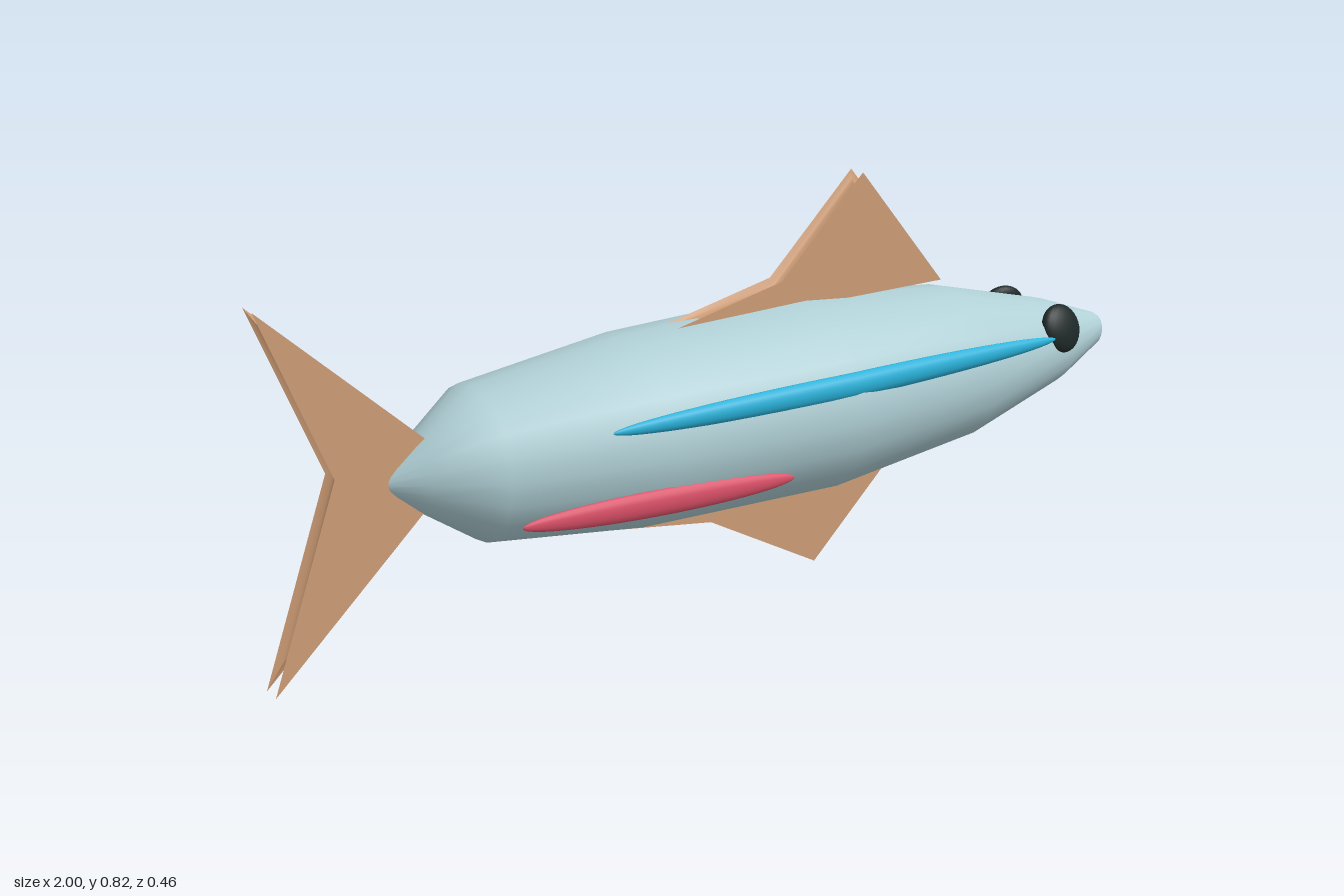
import * as THREE from 'three';
import { mergeVertices, toCreasedNormals } from 'three/addons/utils/BufferGeometryUtils.js';

const mat = (name, color) => {
  const m = new THREE.MeshStandardMaterial({ color });
  m.name = name;
  return m;
};

// Round body along x; each station is [x, half height, half width]
function bodyGeometry(stations, centreY) {
  const profile = stations.map(([x, h]) => new THREE.Vector2(h, x));
  const geo = new THREE.LatheGeometry(profile, 20);
  const pos = geo.attributes.position;
  for (let i = 0; i < pos.count; i++) {
    const [x, h, w] = stations[i % stations.length];
    const widen = h > 0 ? w / h : 1;
    pos.setXYZ(i, x, centreY - pos.getX(i), pos.getZ(i) * widen);
  }
  geo.deleteAttribute('normal');
  geo.deleteAttribute('uv');
  const merged = mergeVertices(geo, 1e-5);
  merged.computeVertexNormals();
  return merged;
}

// Moves each corner of a counter-clockwise outline inwards by d
function inset(outline, d) {
  const n = outline.length;
  return outline.map((p, i) => {
    const inward = (a, b) => {
      const e = b.clone().sub(a).normalize();
      return new THREE.Vector2(-e.y, e.x);
    };
    const n1 = inward(outline[(i + n - 1) % n], p);
    const n2 = inward(p, outline[(i + 1) % n]);
    const move = n1.clone().add(n2).multiplyScalar(d / Math.max(0.05, 1 + n1.dot(n2)));
    return p.clone().add(move.clampLength(0, d * 4.5));
  });
}

// Fin plate whose rim is hollowed into a rounded groove
function finGeometry(points) {
  const outline = points.map(([x, y]) => new THREE.Vector2(x, y));
  const n = outline.length, steps = 8, half = 0.02, depth = 0.02;
  const verts = [], index = [];
  for (let k = 0; k <= steps; k++) {
    const t = -1 + (2 * k) / steps;
    const ring = inset(outline, depth * Math.sqrt(1 - t * t));
    ring.forEach((p) => verts.push(p.x, p.y, t * half));
  }
  for (let k = 0; k < steps; k++) {
    for (let i = 0; i < n; i++) {
      const j = (i + 1) % n;
      const a = k * n + i, b = k * n + j, c = b + n, d = a + n;
      index.push(a, b, c, a, c, d);
    }
  }
  for (const [a, b, c] of THREE.ShapeUtils.triangulateShape(outline, [])) {
    index.push(c, b, a, steps * n + a, steps * n + b, steps * n + c);
  }
  const geo = new THREE.BufferGeometry();
  geo.setAttribute('position', new THREE.Float32BufferAttribute(verts, 3));
  geo.setIndex(index);
  return toCreasedNormals(geo, 0.7);
}

// Slim spindle along x, its centre line given by path(t) for t from -1 to 1
function stripeGeometry(path, halfHeight, halfDepth) {
  const geo = new THREE.SphereGeometry(1, 16, 28);
  geo.rotateZ(-Math.PI / 2);
  const pos = geo.attributes.position;
  for (let i = 0; i < pos.count; i++) {
    const t = pos.getX(i), c = path(t);
    pos.setXYZ(i, c.x, c.y + pos.getY(i) * halfHeight, c.z + pos.getZ(i) * halfDepth);
  }
  geo.computeVertexNormals();
  return geo;
}

export function createModel() {
  const model = new THREE.Group();
  model.name = 'fish';
  const silver = mat('pale silver blue', 0xb0d0d6);
  const tan = mat('tan fin', 0xd2a078);
  const blue = mat('bright blue', 0x2ab4dc);
  const red = mat('rose red', 0xdc5068);
  const black = mat('eye black', 0x1e2828);

  const add = (name, geo, material) => {
    const mesh = new THREE.Mesh(geo, material);
    mesh.name = name;
    model.add(mesh);
    return mesh;
  };

  // Body, tail end to nose
  add('body', bodyGeometry([
    [-0.76, 0, 0],
    [-0.752, 0.022, 0.022],
    [-0.685, 0.073, 0.07],
    [-0.567, 0.154, 0.15],
    [-0.23, 0.194, 0.207],
    [0.19, 0.202, 0.23],
    [0.57, 0.163, 0.183],
    [0.84, 0.093, 0.108],
    [0.99, 0.037, 0.034],
    [1.0, 0.03, 0.025],
    [1.0, 0, 0],
  ], 0.377), silver);

  // Fins, corners listed counter-clockwise
  add('tailFin', finGeometry([
    [-1, 0.75], [-0.86, 0.41], [-1, 0.01], [-0.6, 0.385],
  ]), tan);
  add('dorsalFin', finGeometry([
    [-0.14, 0.565], [0.54, 0.565], [0.33, 0.823], [0.13, 0.625],
  ]), tan);
  add('bellyFin', finGeometry([
    [-0.55, 0.222], [-0.04, 0.147], [0.22, 0.003], [0.42, 0.2],
  ]), tan);

  // Stripes and eyes, mirrored on both sides
  for (const side of [1, -1]) {
    const label = side > 0 ? 'left' : 'right';
    add(label + 'BlueStripe', stripeGeometry((t) => new THREE.Vector3(
      0.172 + 0.543 * t,
      0.45 - 0.002 * t,
      side * (0.205 - 0.015 * Math.abs(t)),
    ), 0.026, 0.018), blue);
    add(label + 'RedStripe', stripeGeometry((t) => new THREE.Vector3(
      -0.265 + 0.3 * t,
      0.295 - 0.009 * t,
      side * (0.194 + 0.01 * t),
    ), 0.027, 0.014), red);

    const eye = add(label + 'Eye', new THREE.SphereGeometry(1, 24, 16), black);
    eye.scale.set(0.056, 0.052, 0.022);
    eye.position.set(0.81, 0.432, side * 0.099);
    eye.rotation.set(side * -0.3, side * 0.15, -0.5);
  }
  return model;
}
